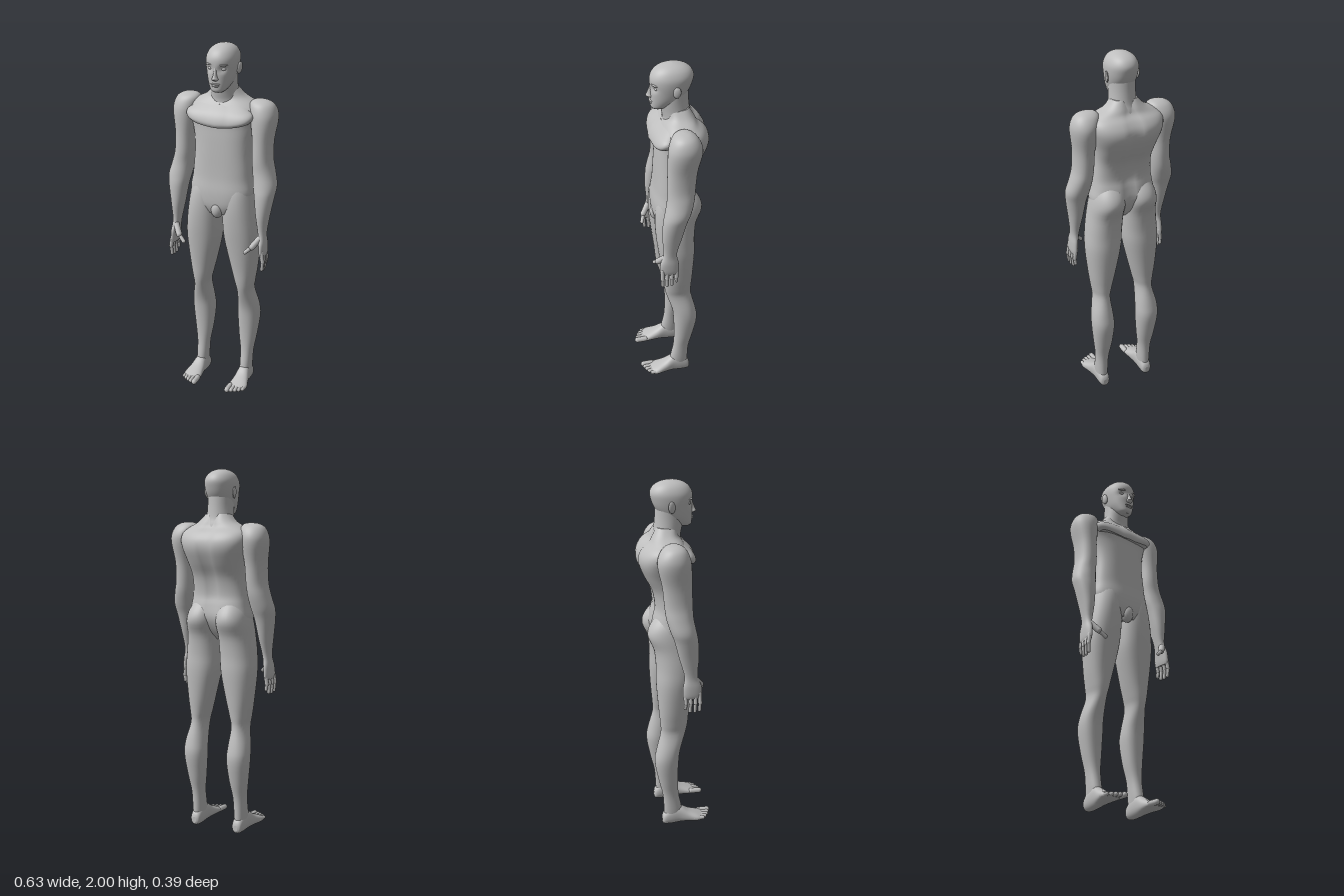
import * as THREE from 'three';

const skin = new THREE.MeshStandardMaterial({ color: 0xbebebe });
skin.name = 'plain grey';

// Catmull-Rom blend of one number
const blend = (a, b, c, d, t) =>
  0.5 * (2 * b + (c - a) * t + (2 * a - 5 * b + 4 * c - d) * t * t + (3 * b - a - 3 * c + d) * t * t * t);

// Smooth loft. Each section: [position on axis, centre x, half width, high, low].
// Along y, high/low are the front and back z; along z, they are the top and bottom y.
function loft(name, sections, { axis = 'y', power = 2, side = 1, sides = 32, steps = 4, tweak } = {}) {
  const rings = [], n = sections.length;
  const at = i => sections[Math.min(n - 1, Math.max(0, i))];
  for (let i = 0; i < n - 1; i++) {
    for (let k = 0; k < steps; k++) {
      rings.push(at(i).map((_, m) => blend(at(i - 1)[m], at(i)[m], at(i + 1)[m], at(i + 2)[m], k / steps)));
    }
  }
  rings.push(at(n - 1));
  const pos = [], index = [];
  const round = v => Math.sign(v) * Math.pow(Math.abs(v), 2 / power);
  const tri = (a, b, c) => (axis === 'y' ? index.push(a, c, b) : index.push(a, b, c));
  const addRing = ([t, c, w, hi, lo]) => {
    for (let j = 0; j < sides; j++) {
      const a = (j / sides) * Math.PI * 2;
      const x = side * c + w * round(Math.cos(a));
      const d = (hi + lo) / 2 + ((hi - lo) / 2) * round(Math.sin(a));
      const p = axis === 'y' ? new THREE.Vector3(x, t, d) : new THREE.Vector3(x, d, t);
      if (tweak) tweak(p);
      pos.push(p.x, p.y, p.z);
    }
  };
  rings.forEach(addRing);
  for (let i = 0; i < rings.length - 1; i++) {
    for (let j = 0; j < sides; j++) {
      const a = i * sides + j, b = i * sides + ((j + 1) % sides);
      tri(a, b, a + sides);
      tri(b, b + sides, a + sides);
    }
  }
  // separate end caps keep a crisp rim
  [rings[0], rings[rings.length - 1]].forEach((r, end) => {
    const s = pos.length / 3;
    addRing(r);
    for (let j = 1; j < sides - 1; j++) {
      if (end) tri(s, s + j, s + j + 1);
      else tri(s, s + j + 1, s + j);
    }
  });
  const g = new THREE.BufferGeometry();
  g.setAttribute('position', new THREE.Float32BufferAttribute(pos, 3));
  g.setIndex(index);
  g.computeVertexNormals();
  const mesh = new THREE.Mesh(g, skin);
  mesh.name = name;
  return mesh;
}

// Rounded rod between two points (fingers, thumb, toes)
function rod(name, a, b, r) {
  const p = new THREE.Vector3(...a), q = new THREE.Vector3(...b), dir = q.clone().sub(p);
  const mesh = new THREE.Mesh(new THREE.CapsuleGeometry(r, dir.length(), 5, 10), skin);
  mesh.position.copy(p).add(q).multiplyScalar(0.5);
  mesh.quaternion.setFromUnitVectors(new THREE.Vector3(0, 1, 0), dir.normalize());
  mesh.name = name;
  return mesh;
}

function blob(name, p, s) {
  const mesh = new THREE.Mesh(new THREE.SphereGeometry(1, 20, 14), skin);
  mesh.position.set(...p);
  mesh.scale.set(...s);
  mesh.name = name;
  return mesh;
}

const bump = (d, w) => Math.exp(-((d / w) ** 2));

function makeTorso() {
  const g = new THREE.Group();
  g.name = 'torso';
  g.add(loft('trunk', [
    [1.08, 0, 0.09, 0.085, -0.06], [1.13, 0, 0.15, 0.1, -0.1], [1.2, 0, 0.182, 0.1, -0.13],
    [1.27, 0, 0.172, 0.09, -0.122], [1.33, 0, 0.165, 0.085, -0.11], [1.42, 0, 0.16, 0.08, -0.125],
    [1.5, 0, 0.17, 0.075, -0.165], [1.57, 0, 0.19, 0.07, -0.193], [1.62, 0, 0.205, 0.075, -0.192],
    [1.66, 0, 0.2, 0.06, -0.168], [1.69, 0, 0.165, 0.04, -0.135], [1.72, 0, 0.108, 0.02, -0.12],
    [1.76, 0, 0.07, 0.02, -0.1],
  ], {
    power: 2.6, sides: 48,
    tweak: p => { // spine furrow
      if (p.z < -0.05) p.z += 0.014 * bump(p.x, 0.025);
    },
  }));
  // chest slab with an overhanging lower edge that lifts at the sides
  g.add(loft('chest', [
    [1.572, 0, 0.165, 0.1, -0.02], [1.59, 0, 0.182, 0.107, -0.03], [1.62, 0, 0.188, 0.098, -0.03],
    [1.65, 0, 0.175, 0.078, -0.03], [1.685, 0, 0.13, 0.04, -0.04],
  ], {
    power: 2.9, sides: 48,
    tweak: p => {
      p.y += 0.9 * p.x * p.x * Math.max(0, (1.66 - p.y) / 0.088);
      if (p.z > 0) p.z += 0.006 * bump(p.x, 0.02);
    },
  }));
  g.add(loft('neck', [
    [1.64, 0, 0.095, 0.045, -0.13], [1.7, 0, 0.084, 0.038, -0.118], [1.74, 0, 0.074, 0.044, -0.105],
    [1.8, 0, 0.07, 0.055, -0.098], [1.86, 0, 0.07, 0.05, -0.095],
  ]));
  g.add(blob('groin', [0, 1.105, 0.075], [0.035, 0.05, 0.035]));
  return g;
}

function makeHead() {
  const g = new THREE.Group();
  g.name = 'head';
  g.add(loft('skull', [
    [1.757, 0, 0.025, 0.085, 0.035], [1.768, 0, 0.042, 0.097, 0.01], [1.79, 0, 0.057, 0.099, -0.03],
    [1.82, 0, 0.07, 0.099, -0.07], [1.86, 0, 0.079, 0.1, -0.1], [1.9, 0, 0.084, 0.102, -0.116],
    [1.935, 0, 0.083, 0.099, -0.122], [1.965, 0, 0.07, 0.082, -0.108], [1.985, 0, 0.05, 0.055, -0.08],
    [1.996, 0, 0.025, 0.02, -0.045], [2.0, 0, 0.003, -0.01, -0.015],
  ], {
    power: 2.15, sides: 48,
    tweak: p => { // eye sockets and narrowed front of the jaw
      if (p.z < 0) return;
      p.z -= 0.013 * bump(Math.abs(p.x) - 0.037, 0.02) * bump(p.y - 1.882, 0.017);
      p.x *= 1 - 0.8 * p.z * THREE.MathUtils.clamp((1.9 - p.y) / 0.1, 0, 1);
    },
  }));
  g.add(loft('nose', [
    [1.822, 0, 0.013, 0.106, 0.08], [1.831, 0, 0.018, 0.122, 0.08], [1.845, 0, 0.012, 0.117, 0.08],
    [1.875, 0, 0.008, 0.105, 0.08], [1.9, 0, 0.01, 0.099, 0.08],
  ], { sides: 16 }));
  g.add(blob('upper lip', [0, 1.804, 0.097], [0.026, 0.005, 0.009]));
  g.add(blob('lower lip', [0, 1.794, 0.096], [0.022, 0.006, 0.009]));
  for (const s of [1, -1]) {
    g.add(blob('eye', [s * 0.036, 1.882, 0.074], [0.015, 0.009, 0.012]));
    const brow = blob('brow', [s * 0.038, 1.904, 0.084], [0.025, 0.006, 0.011]);
    brow.rotation.y = s * 0.35;
    g.add(brow);
    const ear = blob('ear', [s * 0.086, 1.874, -0.022], [0.009, 0.032, 0.02]);
    ear.rotation.set(-0.15, s * -0.3, s * -0.12);
    g.add(ear);
  }
  return g;
}

function makeArm(side) {
  const g = new THREE.Group();
  g.name = side > 0 ? 'leftArm' : 'rightArm';
  g.add(loft('arm', [
    [0.868, 0.265, 0.012, 0.1, 0.008], [0.89, 0.265, 0.017, 0.107, 0.002], [0.94, 0.262, 0.02, 0.104, 0.004],
    [1.0, 0.255, 0.023, 0.084, 0.012], [1.1, 0.252, 0.038, 0.09, -0.015], [1.2, 0.253, 0.054, 0.086, -0.04],
    [1.26, 0.25, 0.064, 0.075, -0.062], [1.33, 0.237, 0.06, 0.062, -0.082], [1.4, 0.226, 0.055, 0.06, -0.09],
    [1.5, 0.224, 0.056, 0.056, -0.1], [1.6, 0.225, 0.07, 0.054, -0.122], [1.65, 0.22, 0.074, 0.046, -0.12],
    [1.69, 0.21, 0.066, 0.028, -0.098], [1.71, 0.203, 0.042, 0.0, -0.07], [1.716, 0.2, 0.008, -0.03, -0.045],
  ], { side, power: 2.1 }));
  // four fingers from front to back
  [[0.093, 0.8], [0.068, 0.794], [0.042, 0.796], [0.016, 0.815]].forEach(([z, tip], i) => {
    const x = 0.268 - i * 0.002;
    g.add(rod('finger', [side * x, 0.9, z], [side * (x + 0.008), 0.845, z + 0.002], 0.0115));
    g.add(rod('fingertip', [side * (x + 0.008), 0.845, z + 0.002], [side * (x + 0.004), tip, z], 0.0095));
  });
  g.add(rod('thumbBase', [side * 0.25, 0.975, 0.075], [side * 0.218, 0.93, 0.108], 0.017));
  g.add(rod('thumb', [side * 0.218, 0.93, 0.108], [side * 0.184, 0.899, 0.122], 0.011));
  return g;
}

function makeLeg(side) {
  const g = new THREE.Group();
  g.name = side > 0 ? 'leftLeg' : 'rightLeg';
  g.add(loft('leg', [
    [0.04, 0.138, 0.03, 0.025, -0.078], [0.1, 0.138, 0.034, 0.024, -0.08], [0.2, 0.138, 0.037, 0.005, -0.087],
    [0.3, 0.138, 0.052, 0.0, -0.11], [0.42, 0.14, 0.064, 0.004, -0.131], [0.5, 0.14, 0.06, 0.014, -0.12],
    [0.6, 0.133, 0.045, 0.044, -0.096], [0.66, 0.13, 0.055, 0.056, -0.097], [0.75, 0.125, 0.074, 0.065, -0.105],
    [0.9, 0.115, 0.099, 0.084, -0.115], [1.0, 0.108, 0.101, 0.095, -0.114], [1.1, 0.1, 0.097, 0.1, -0.125],
    [1.18, 0.095, 0.092, 0.095, -0.156], [1.24, 0.09, 0.082, 0.08, -0.14], [1.3, 0.085, 0.055, 0.05, -0.09],
  ], { side, power: 2.15 }));
  g.add(loft('foot', [
    [-0.091, 0.138, 0.012, 0.05, 0.015], [-0.08, 0.138, 0.028, 0.075, 0.003], [-0.04, 0.138, 0.034, 0.11, 0],
    [0.01, 0.139, 0.036, 0.115, 0.006], [0.06, 0.142, 0.044, 0.085, 0.013], [0.11, 0.145, 0.053, 0.064, 0.018],
    [0.14, 0.14, 0.048, 0.052, 0.024], [0.155, 0.136, 0.038, 0.045, 0.03],
  ], { axis: 'z', side, power: 2.3 }));
  // toes, largest on the inner side
  [[0.104, 0.181, 0.016], [0.128, 0.176, 0.012], [0.148, 0.168, 0.0115], [0.167, 0.157, 0.011], [0.185, 0.142, 0.0105]]
    .forEach(([x, z, r]) => g.add(rod('toe', [side * x, 0.042, z - 0.05], [side * x, 0.041, z], r)));
  return g;
}

export function createModel() {
  const model = new THREE.Group();
  model.name = 'figure';
  model.add(makeTorso(), makeHead());
  for (const side of [1, -1]) model.add(makeArm(side), makeLeg(side));
  return model;
}
